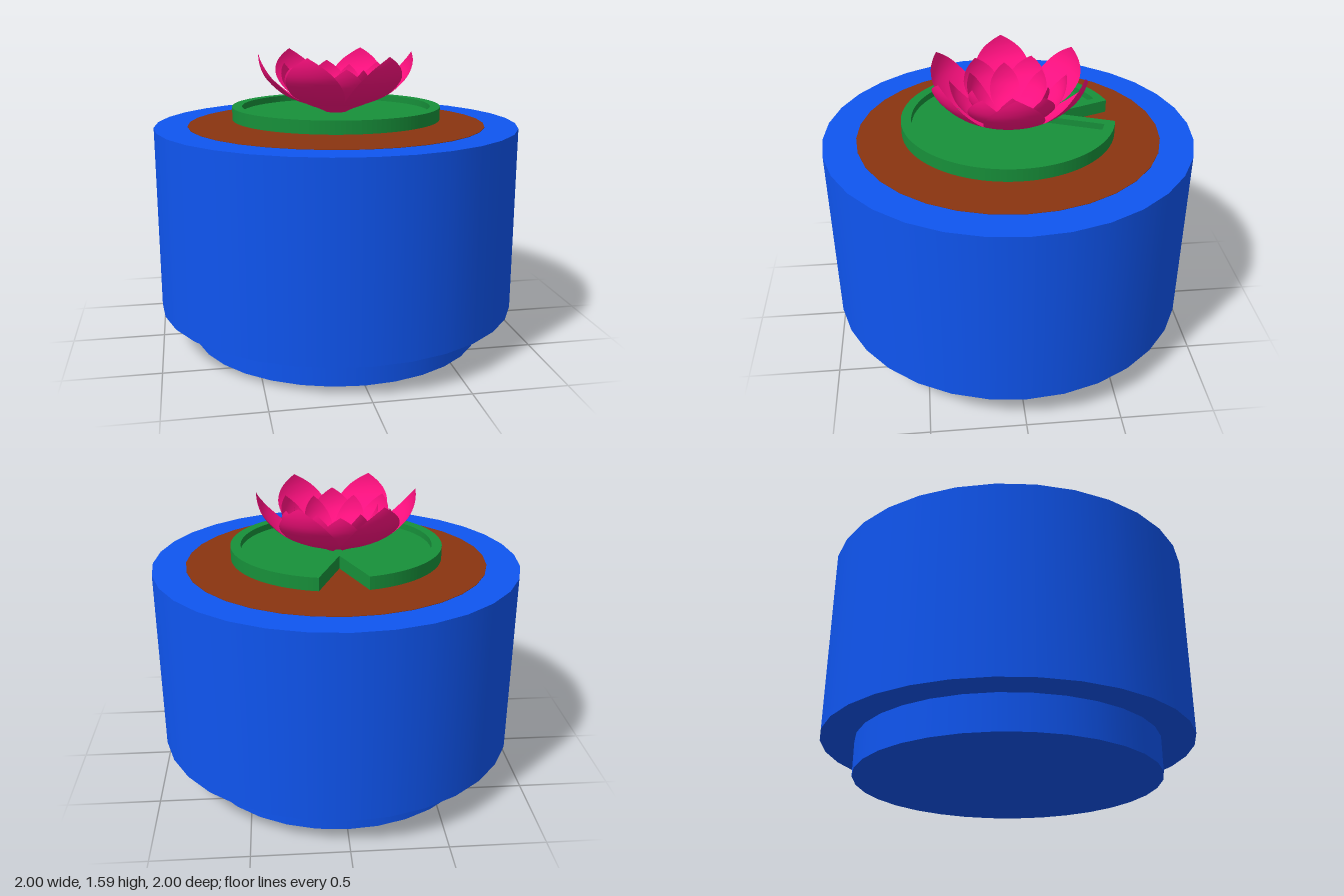
import * as THREE from 'three';

const mat = (color, side = THREE.FrontSide) =>
  new THREE.MeshStandardMaterial({ color, side });

function add(parent, name, geometry, material, y = 0) {
  const mesh = new THREE.Mesh(geometry, material);
  mesh.name = name;
  mesh.position.y = y;
  parent.add(mesh);
  return mesh;
}

// Disc outline with a V notch whose point sits at (0, apex)
function notchedDisc(PathType, radius, cornerX, apex) {
  const a = Math.asin(cornerX / radius);
  const path = new PathType();
  path.moveTo(0, apex);
  path.lineTo(-cornerX, radius * Math.cos(a));
  path.absarc(0, 0, radius, Math.PI / 2 + a, Math.PI * 2.5 - a, false);
  path.lineTo(0, apex);
  return path;
}

function slab(shape, depth) {
  const g = new THREE.ExtrudeGeometry(shape, { depth, bevelEnabled: false, curveSegments: 64 });
  return g.rotateX(-Math.PI / 2);
}

// Petal section points: radius, height, half angle in degrees
const petalCurve = new THREE.CatmullRomCurve3([
  [0.005, 0, 30], [0.05, 0.06, 30], [0.13, 0.1, 30], [0.22, 0.13, 30],
  [0.3, 0.17, 29], [0.36, 0.222, 25.5], [0.398, 0.27, 21], [0.418, 0.32, 14.5],
  [0.425, 0.36, 7], [0.426, 0.39, 0],
].map(([r, y, a]) => new THREE.Vector3(r, y, a / 100)));

// Cupped petal pointing along +x, bent around the flower's axis
function petalGeometry(radiusScale, heightScale) {
  const g = new THREE.PlaneGeometry(1, 1, 12, 24);
  const pos = g.attributes.position;
  for (let i = 0; i < pos.count; i++) {
    const p = petalCurve.getPoint(pos.getY(i) + 0.5);
    const angle = pos.getX(i) * 2 * THREE.MathUtils.degToRad(p.z * 100);
    const r = p.x * radiusScale;
    pos.setXYZ(i, r * Math.cos(angle), p.y * heightScale, r * Math.sin(angle));
  }
  g.computeVertexNormals();
  return g;
}

export function createModel() {
  const model = new THREE.Group();
  const blue = mat(0x0f55f0);
  const green = mat(0x17903a);
  const pink = mat(0xff1080, THREE.DoubleSide);

  // Pot: wide body on a narrower foot, filled with soil
  const pot = new THREE.Group();
  pot.name = 'pot';
  model.add(pot);
  add(pot, 'potBody', new THREE.CylinderGeometry(1, 1, 1.013, 32), blue, 0.6935);
  add(pot, 'potFoot', new THREE.CylinderGeometry(0.82, 0.82, 0.19, 32), blue, 0.095);
  add(pot, 'soil', new THREE.CylinderGeometry(0.82, 0.82, 0.04, 32), mat(0x8a3410), 1.182);

  // Lily pad: notched floor with a raised rim all round
  const pad = new THREE.Group();
  pad.name = 'lilyPad';
  model.add(pad);
  add(pad, 'padFloor', slab(notchedDisc(THREE.Shape, 0.575, 0.125, 0.24), 0.035), green, 1.23);
  const rim = notchedDisc(THREE.Shape, 0.575, 0.125, 0.24);
  rim.holes.push(notchedDisc(THREE.Path, 0.52, 0.155, 0.1));
  add(pad, 'padRim', slab(rim, 0.035), green, 1.265);

  // Flower: three rings of six petals round a small bud
  const flower = new THREE.Group();
  flower.name = 'flower';
  flower.position.y = 1.2;
  model.add(flower);
  const rings = [
    ['outerPetal', 1, 1, 0],
    ['middlePetal', 0.73, 0.83, 30],
    ['innerPetal', 0.53, 0.79, 0],
  ];
  for (const [name, rs, hs, offset] of rings) {
    const geometry = petalGeometry(rs, hs);
    for (let i = 0; i < 6; i++) {
      add(flower, name, geometry, pink).rotation.y = THREE.MathUtils.degToRad(i * 60 + offset);
    }
  }
  add(flower, 'flowerStem', new THREE.CylinderGeometry(0.008, 0.008, 0.12, 12), pink, 0.06);
  add(flower, 'bud', new THREE.SphereGeometry(0.035, 20, 14), pink, 0.12);

  return model;
}
